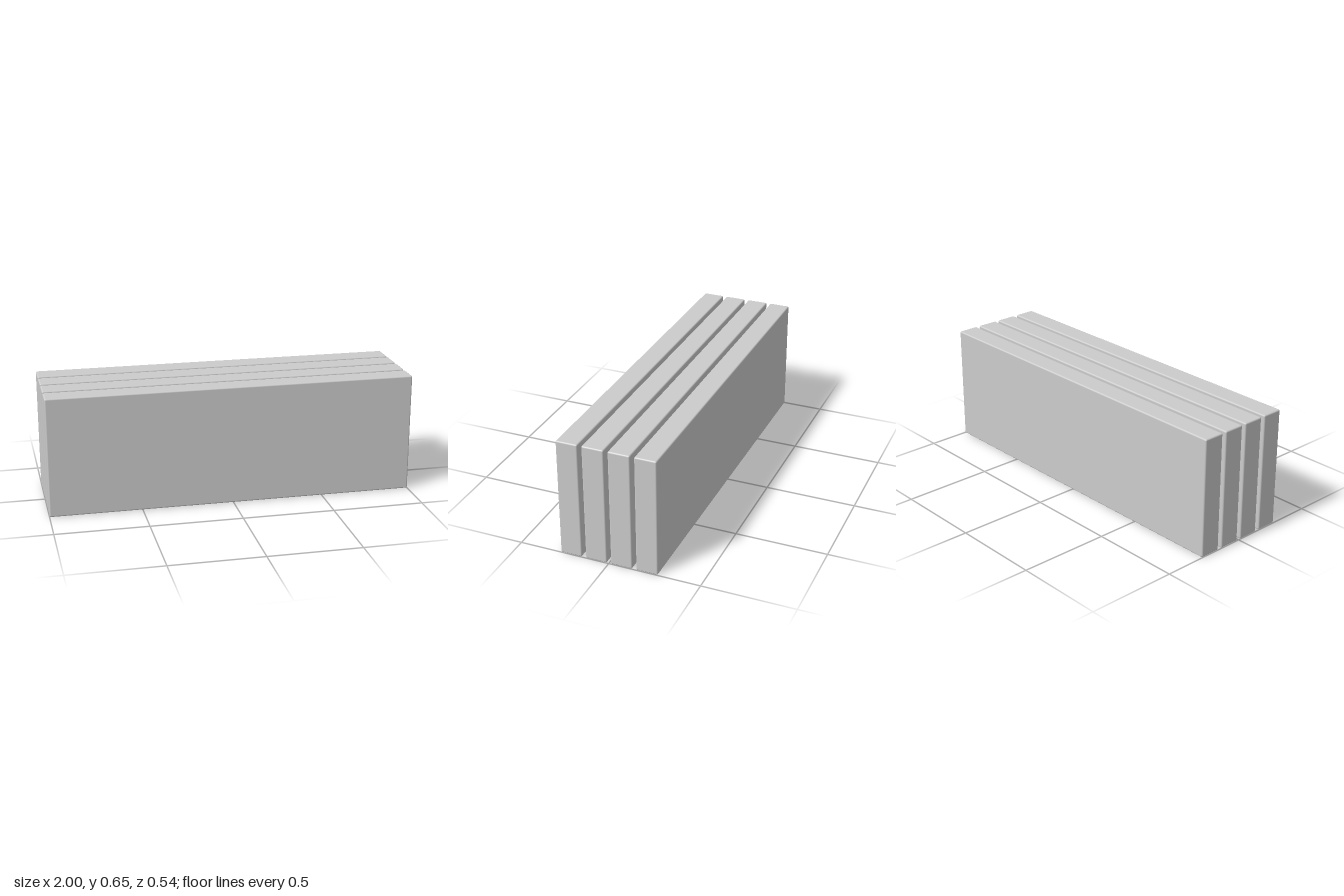
import * as THREE from 'three';
import { RoundedBoxGeometry } from 'three/addons/geometries/RoundedBoxGeometry.js';

const LENGTH = 2, HEIGHT = 0.655, THICKNESS = 0.118;
const PITCH = 0.1405, COUNT = 4, EDGE = 0.008;

export function createModel() {
  const group = new THREE.Group();
  group.name = 'slabStack';
  const material = new THREE.MeshStandardMaterial({ color: 0xcccccc });

  // One softly rounded slab, shared by the whole row
  const slabGeometry = new RoundedBoxGeometry(LENGTH, HEIGHT, THICKNESS, 4, EDGE);

  // Upright slabs standing side by side with narrow gaps, front to back
  for (let i = 0; i < COUNT; i++) {
    const slab = new THREE.Mesh(slabGeometry, material);
    slab.name = `slab${i + 1}`;
    slab.position.set(0, HEIGHT / 2, ((COUNT - 1) / 2 - i) * PITCH);
    group.add(slab);
  }
  return group;
}
